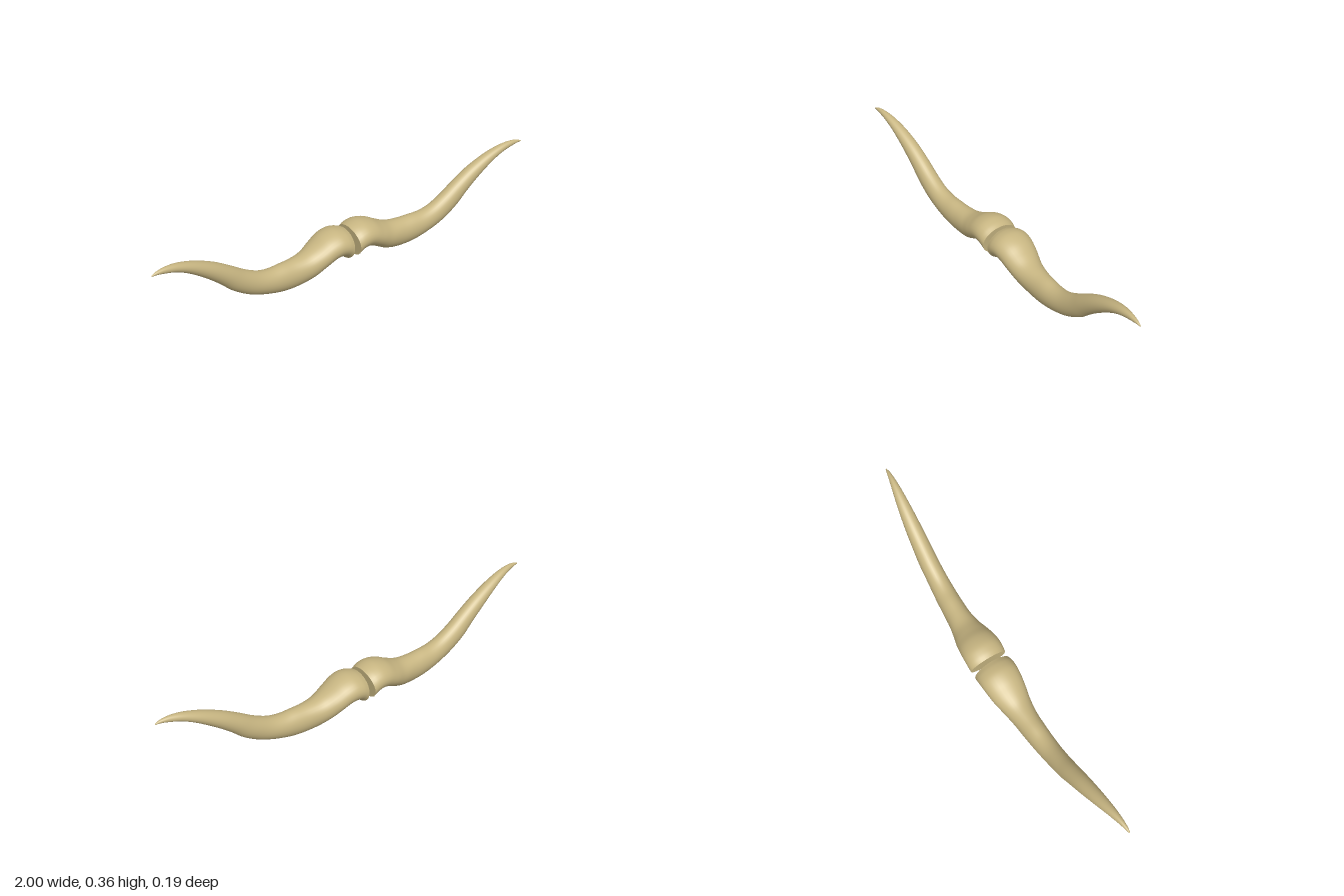
import * as THREE from 'three';

// Cross-sections from root to tip: top x, top y, front z, bottom x, bottom y, back z
const SECTIONS = [
  [0.010, 0.190, 0.088, 0.025, 0.050, -0.094],
  [0.040, 0.201, 0.091, 0.045, 0.069, -0.096],
  [0.080, 0.205, 0.091, 0.075, 0.077, -0.095],
  [0.130, 0.192, 0.088, 0.100, 0.072, -0.091],
  [0.180, 0.165, 0.082, 0.145, 0.050, -0.082],
  [0.235, 0.142, 0.072, 0.200, 0.020, -0.066],
  [0.300, 0.135, 0.064, 0.270, 0.003, -0.052],
  [0.360, 0.135, 0.063, 0.360, 0.004, -0.044],
  [0.420, 0.135, 0.063, 0.450, 0.025, -0.037],
  [0.480, 0.150, 0.063, 0.540, 0.060, -0.030],
  [0.550, 0.187, 0.063, 0.620, 0.112, -0.026],
  [0.620, 0.235, 0.063, 0.680, 0.170, -0.020],
  [0.700, 0.285, 0.063, 0.750, 0.230, -0.011],
  [0.790, 0.328, 0.063, 0.830, 0.288, 0.004],
  [0.870, 0.355, 0.063, 0.890, 0.320, 0.020],
  [0.930, 0.364, 0.062, 0.940, 0.336, 0.034],
  [0.975, 0.360, 0.060, 0.975, 0.344, 0.044],
  [1.000, 0.350, 0.056, 1.000, 0.345, 0.051],
];
const RINGS = 80;
const SIDES = 32;

const topEdge = new THREE.CatmullRomCurve3(
  SECTIONS.map(s => new THREE.Vector3(s[0], s[1], s[2])), false, 'catmullrom', 0.5);
const bottomEdge = new THREE.CatmullRomCurve3(
  SECTIONS.map(s => new THREE.Vector3(s[3], s[4], s[5])), false, 'catmullrom', 0.5);

// One elliptical ring, spanned by the top and bottom edges and the z extent
function ring(t, side) {
  const a = topEdge.getPoint(t), b = bottomEdge.getPoint(t);
  const points = [];
  for (let j = 0; j < SIDES; j++) {
    const angle = (j / SIDES) * Math.PI * 2;
    const c = Math.cos(angle) / 2, s = Math.sin(angle) / 2;
    points.push(
      side * ((a.x + b.x) / 2 + (a.x - b.x) * c),
      (a.y + b.y) / 2 + (a.y - b.y) * c,
      (a.z + b.z) / 2 + (a.z - b.z) * s);
  }
  return points;
}

function makeGeometry(positions, index) {
  const geometry = new THREE.BufferGeometry();
  geometry.setAttribute('position', new THREE.Float32BufferAttribute(positions, 3));
  geometry.setIndex(index);
  geometry.computeVertexNormals();
  return geometry;
}

// Smooth skin through all the rings
function hornSkin(side) {
  const positions = [], index = [];
  const tri = (a, b, c) => (side > 0 ? index.push(a, b, c) : index.push(a, c, b));
  for (let i = 0; i <= RINGS; i++) positions.push(...ring(i / RINGS, side));
  for (let i = 0; i < RINGS; i++) {
    for (let j = 0; j < SIDES; j++) {
      const k = (j + 1) % SIDES;
      const a = i * SIDES + j, b = i * SIDES + k;
      tri(a, b, a + SIDES);
      tri(b, b + SIDES, a + SIDES);
    }
  }
  return makeGeometry(positions, index);
}

// Flat disc closing one end
function endCap(t, side, facing) {
  const index = [];
  for (let j = 1; j < SIDES - 1; j++) {
    if (side * facing > 0) index.push(0, j, j + 1);
    else index.push(0, j + 1, j);
  }
  return makeGeometry(ring(t, side), index);
}

export function createModel() {
  const model = new THREE.Group();
  model.name = 'hornPair';
  const bone = new THREE.MeshStandardMaterial({ color: 0xc8b682 });
  bone.name = 'bone';

  for (const side of [1, -1]) {
    const horn = new THREE.Group();
    horn.name = side > 0 ? 'leftHorn' : 'rightHorn';
    const add = (geometry, name) => {
      const mesh = new THREE.Mesh(geometry, bone);
      mesh.name = name;
      horn.add(mesh);
    };
    add(hornSkin(side), 'hornBody');
    add(endCap(0, side, -1), 'hornRoot');
    add(endCap(1, side, 1), 'hornTip');
    model.add(horn);
  }
  return model;
}
